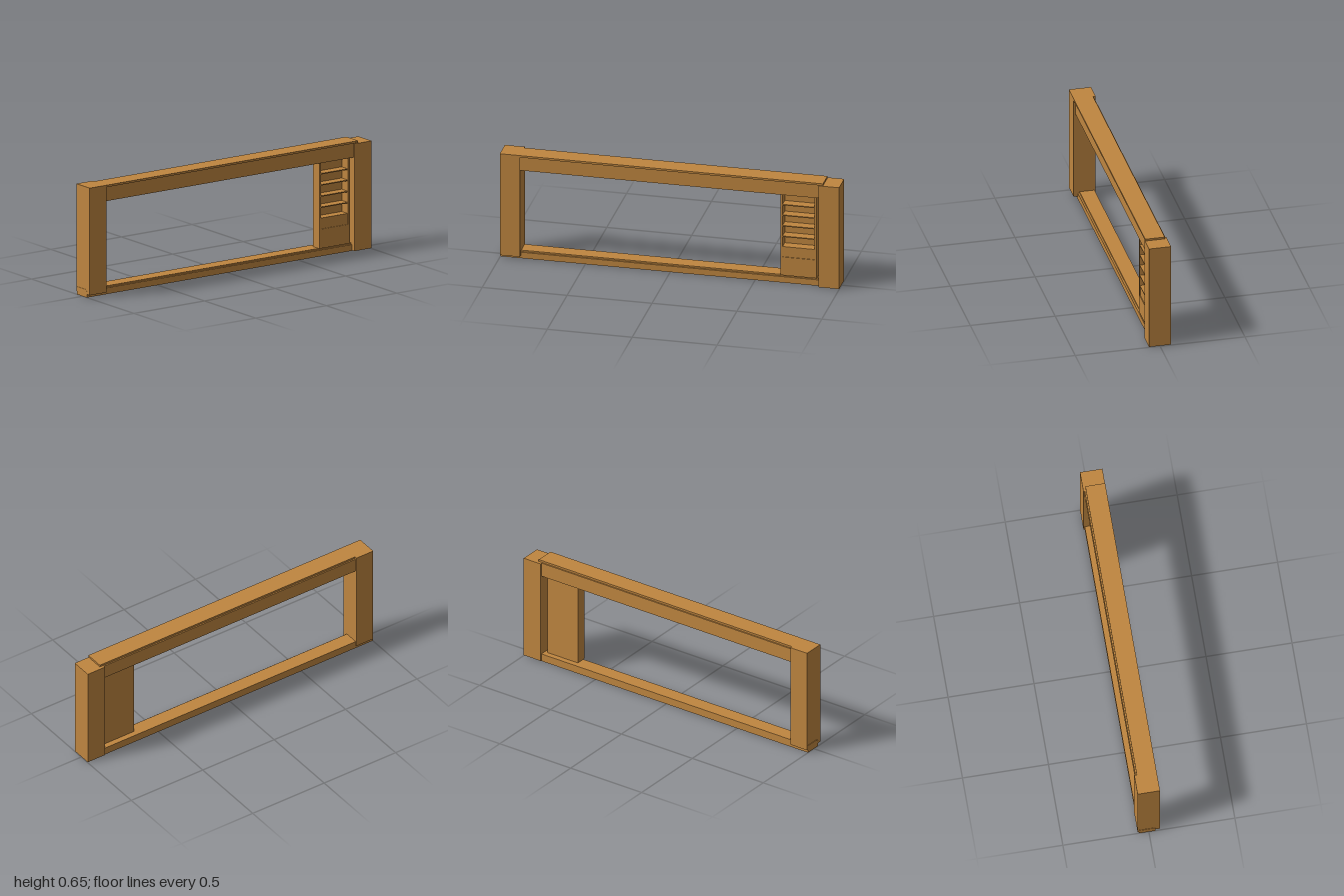
import * as THREE from 'three';

export function createModel() {
  const group = new THREE.Group();
  group.name = 'openingFrame';
  const wood = new THREE.MeshStandardMaterial({ color: 0xbf8640 });
  wood.name = 'wood';

  // Box given by its x, y and z ranges
  const box = (name, [x0, x1], [y0, y1], [z0, z1], parent = group) => {
    const mesh = new THREE.Mesh(new THREE.BoxGeometry(x1 - x0, y1 - y0, z1 - z0), wood);
    mesh.position.set((x0 + x1) / 2, (y0 + y1) / 2, (z0 + z1) / 2);
    mesh.name = name;
    parent.add(mesh);
    return mesh;
  };

  // Upright posts
  box('frontPost', [-0.065, 0.065], [0.018, 0.652], [0.88, 0.998]);
  box('backPost', [-0.065, 0.065], [0.003, 0.637], [-1, -0.88]);

  // Top rail with a thin cap lapping over the back post
  box('topRail', [-0.058, 0.055], [0.555, 0.64], [-0.88, 0.88]);
  box('railCap', [-0.05, 0.065], [0.64, 0.652], [-0.905, 0.88]);

  // Stepped sill running under both posts
  box('sill', [-0.058, 0.04], [0, 0.037], [-0.99, 1]);
  box('sillStep', [-0.058, 0.03], [0.037, 0.046], [-0.99, 1]);

  // Shelf unit beside the back post
  const unit = new THREE.Group();
  unit.name = 'shelfUnit';
  group.add(unit);
  const front = 0.04, back = -0.024;
  const opening = [-0.849, -0.661];
  box('unitBack', [back, back + 0.006], [0.046, 0.555], [-0.862, -0.648], unit);
  for (const z of [[-0.862, opening[0]], [opening[1], -0.648]]) {
    box('unitStile', [back + 0.006, front], [0.046, 0.555], z, unit);
  }
  box('unitBase', [back + 0.006, front], [0.046, 0.16], opening, unit);
  box('drawerFront', [back + 0.006, front - 0.004], [0.16, 0.218], opening, unit);
  for (let i = 0; i < 5; i++) {
    const y = 0.222 + i * 0.066;
    box('shelf', [back + 0.006, front - 0.001], [y - 0.003, y + 0.003], opening, unit);
  }
  return group;
}
